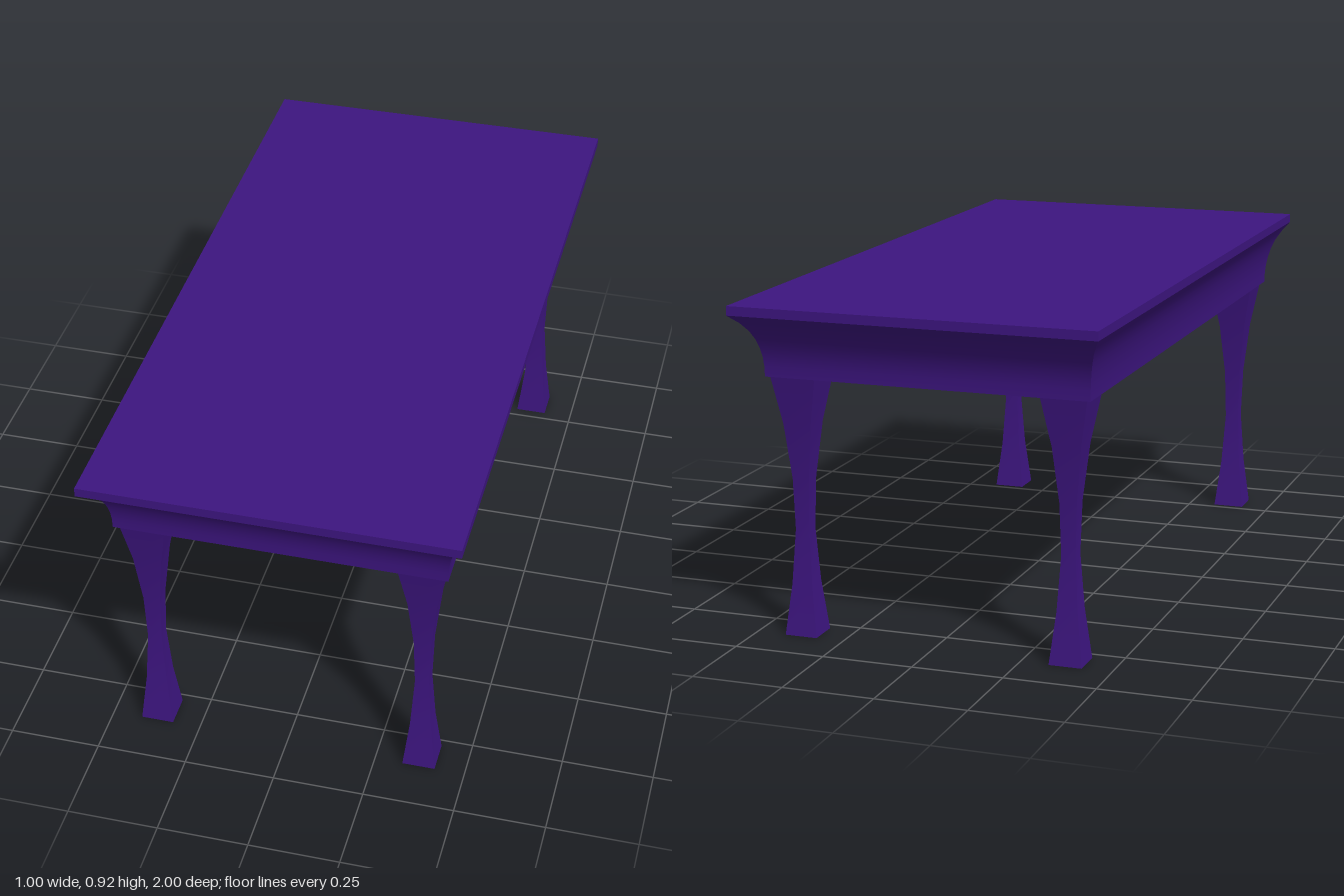
import * as THREE from 'three';

const material = new THREE.MeshStandardMaterial({ color: 0x3d1580 });

// Lofts rectangular sections [y, halfX, halfZ], listed bottom to top.
// Each side has its own vertices: corners stay sharp, the curve is smooth.
function rectLoft(sections) {
  const corners = [[1, 1], [1, -1], [-1, -1], [-1, 1]];
  const pos = [], idx = [];
  for (let s = 0; s < 4; s++) {
    const a = corners[s], b = corners[(s + 1) % 4], base = pos.length / 3;
    sections.forEach(([y, hx, hz], i) => {
      pos.push(a[0] * hx, y, a[1] * hz, b[0] * hx, y, b[1] * hz);
      if (i > 0) {
        const k = base + 2 * (i - 1);
        idx.push(k, k + 1, k + 3, k, k + 3, k + 2);
      }
    });
  }
  // Flat caps
  const cap = ([y, hx, hz], up) => {
    const k = pos.length / 3;
    for (const [x, z] of corners) pos.push(x * hx, y, z * hz);
    idx.push(...(up ? [0, 1, 2, 0, 2, 3] : [0, 2, 1, 0, 3, 2]).map((n) => n + k));
  };
  cap(sections[0], false);
  cap(sections[sections.length - 1], true);
  const geo = new THREE.BufferGeometry();
  geo.setAttribute('position', new THREE.Float32BufferAttribute(pos, 3));
  geo.setIndex(idx);
  geo.computeVertexNormals();
  return geo;
}

export function createModel() {
  const group = new THREE.Group();
  const add = (name, geo, x = 0, y = 0, z = 0) => {
    const mesh = new THREE.Mesh(geo, material);
    mesh.name = name;
    mesh.position.set(x, y, z);
    group.add(mesh);
  };

  // Thin slab top
  add('tableTop', new THREE.BoxGeometry(1, 0.025, 2), 0, 0.9025, 0);

  // Concave cove apron flaring out to the top's edge
  const cove = [
    [0.712, 0.893], [0.74, 0.894], [0.765, 0.898], [0.79, 0.906],
    [0.815, 0.918], [0.84, 0.936], [0.865, 0.963], [0.89, 1],
  ];
  add('apron', rectLoft(cove.map(([y, s]) => [y, 0.5 * s, s])));

  // Four square waisted legs
  const legProfile = [
    [0, 0.045], [0.14, 0.029], [0.29, 0.0195], [0.43, 0.0235], [0.58, 0.039], [0.714, 0.063],
  ];
  const leg = rectLoft(legProfile.map(([y, r]) => [y, r, r]));
  for (const [side, x] of [['Left', 0.372], ['Right', -0.373]]) {
    add('front' + side + 'Leg', leg, x, 0, 0.817);
    add('back' + side + 'Leg', leg, x, 0, -0.824);
  }
  return group;
}
